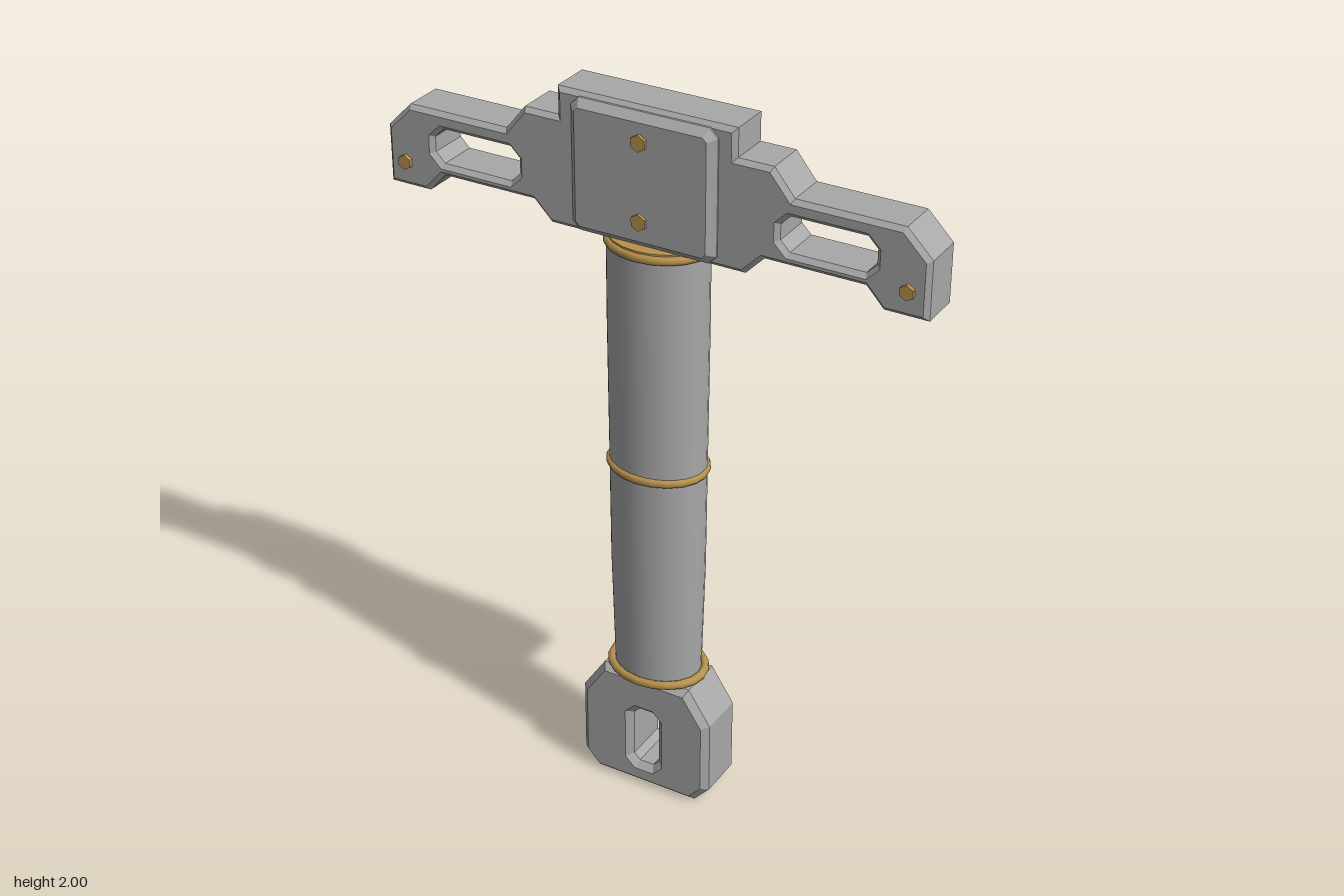
import * as THREE from 'three';

const steel = new THREE.MeshStandardMaterial({ color: 0xa8a8a8 });
steel.name = 'steel';
const brass = new THREE.MeshStandardMaterial({ color: 0xb8924f });
brass.name = 'brass';

const FLAT = 0.8; // the grip is an oval, thinner in z

// Bevelled slab centred on z = 0, its outline being the widest section
function slab(name, points, halfDepth, bevel, holes = []) {
  const shape = new THREE.Shape(points.map(([x, y]) => new THREE.Vector2(x, y)));
  for (const hole of holes) {
    shape.holes.push(new THREE.Path(hole.map(([x, y]) => new THREE.Vector2(x, y))));
  }
  const depth = 2 * (halfDepth - bevel);
  const geometry = new THREE.ExtrudeGeometry(shape, {
    depth, bevelEnabled: true, bevelSize: bevel, bevelThickness: bevel,
    bevelOffset: -bevel, bevelSegments: 1,
  });
  geometry.translate(0, 0, -depth / 2);
  const mesh = new THREE.Mesh(geometry, steel);
  mesh.name = name;
  return mesh;
}

// Rectangle with cut corners
function cutRect(x0, x1, y0, y1, c) {
  return [[x0 + c, y0], [x1 - c, y0], [x1, y0 + c], [x1, y1 - c],
    [x1 - c, y1], [x0 + c, y1], [x0, y1 - c], [x0, y0 + c]];
}

// Right half of an outline, bottom to top, mirrored into a closed loop
function mirrored(half) {
  return [...half, ...half.map(([x, y]) => [-x, y]).reverse()];
}

// Oval brass ring around the grip
function ring(name, y, radius) {
  const geometry = new THREE.TorusGeometry(radius, 0.012, 8, 20);
  geometry.rotateX(Math.PI / 2);
  const mesh = new THREE.Mesh(geometry, brass);
  mesh.name = name;
  mesh.scale.z = FLAT + 0.02;
  mesh.position.y = y;
  return mesh;
}

// Hexagonal bolt running through to both faces
function bolt(name, x, y, radius, halfLength) {
  const geometry = new THREE.CylinderGeometry(radius, radius, 2 * halfLength, 6).toNonIndexed();
  geometry.rotateX(Math.PI / 2);
  geometry.computeVertexNormals();
  const mesh = new THREE.Mesh(geometry, brass);
  mesh.name = name;
  mesh.position.set(x, y, 0);
  return mesh;
}

export function createModel() {
  const model = new THREE.Group();
  model.name = 'crossheadHandle';

  // Stepped crosshead with a slot in each arm
  const head = mirrored([
    [0.27, 1.634], [0.32, 1.685], [0.585, 1.685], [0.632, 1.634], [0.748, 1.634],
    [0.748, 1.788], [0.68, 1.857], [0.395, 1.857], [0.34, 1.925], [0.245, 1.925], [0.245, 2.0],
  ]);
  model.add(slab('crosshead', head, 0.066, 0.012, [
    cutRect(0.36, 0.61, 1.717, 1.81, 0.026),
    cutRect(-0.61, -0.36, 1.717, 1.81, 0.026),
  ]));

  // Raised plate on the front and back of the crosshead
  model.add(slab('centrePlate', cutRect(-0.2, 0.2, 1.642, 1.99, 0.022), 0.09, 0.02));

  // Bolts
  for (const y of [1.715, 1.92]) model.add(bolt('plateBolt', 0, y, 0.022, 0.098));
  for (const x of [-0.695, 0.695]) model.add(bolt('armBolt', x, 1.702, 0.02, 0.076));

  // Tapered oval grip
  const profile = [[0, 0.365], [0.121, 0.365], [0.121, 0.365], [0.13, 0.7], [0.132, 1.0],
    [0.135, 1.4], [0.135, 1.63], [0.135, 1.63], [0, 1.63]];
  const body = profile.slice(2, 7).map(([x, y]) => new THREE.Vector2(x, y));
  const grip = new THREE.Mesh(new THREE.LatheGeometry(body, 32), steel);
  grip.name = 'grip';
  grip.scale.z = FLAT;
  model.add(grip);

  // Brass collars closing both ends of the grip
  for (const [name, y, r] of [['topCollar', 1.634, 0.132], ['bottomCollar', 0.367, 0.125]]) {
    const collar = new THREE.Mesh(new THREE.CylinderGeometry(r, r, 0.02, 20), brass);
    collar.name = name;
    collar.scale.z = FLAT;
    collar.position.y = y;
    model.add(collar);
  }

  // Rings
  model.add(ring('topRing', 1.628, 0.131));
  model.add(ring('middleRing', 1.0, 0.129));
  model.add(ring('bottomRing', 0.37, 0.131));

  // Pommel with a slot
  const pommel = mirrored([
    [0.15, 0], [0.195, 0.05], [0.195, 0.262], [0.13, 0.36],
  ]);
  model.add(slab('pommel', pommel, 0.081, 0.018, [cutRect(-0.039, 0.039, 0.066, 0.242, 0.018)]));

  return model;
}
